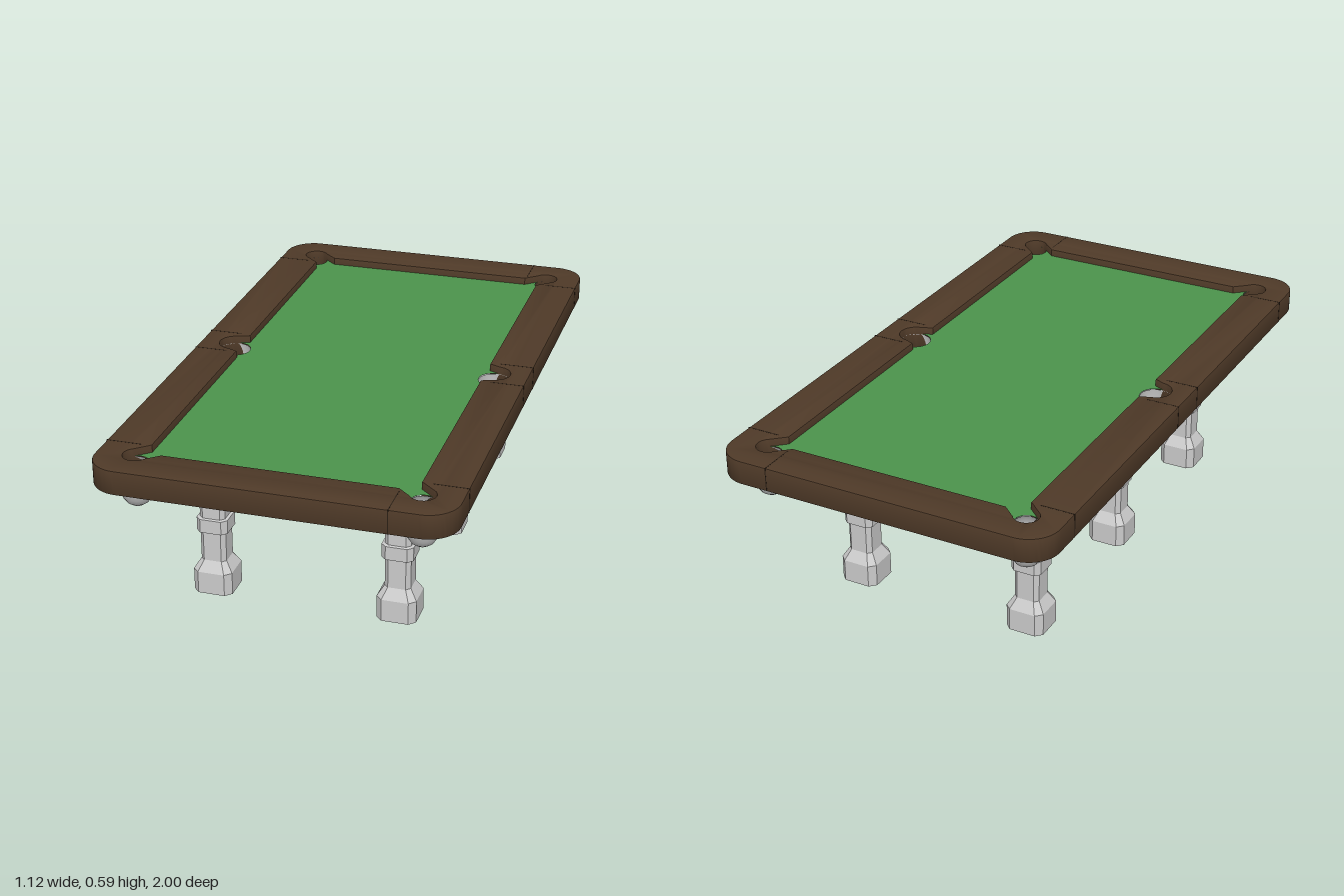
import * as THREE from 'three';
import { toCreasedNormals } from 'three/addons/utils/BufferGeometryUtils.js';

const material = (color) => new THREE.MeshStandardMaterial({ color, side: THREE.DoubleSide });
const wood = material(0x4f3a28);
const seamWood = material(0x2a1f15);
const cloth = material(0x4c944c);
const grey = material(0xcccccc);

const CORNER = { x: 0.44, z: 0.877, r: 0.039 };
const SIDE = { x: 0.447, z: 0, r: 0.052 };

function add(parent, name, geometry, mat) {
  const mesh = new THREE.Mesh(geometry, mat);
  mesh.name = name;
  parent.add(mesh);
  return mesh;
}

// Rounded rectangle outline, counter-clockwise
function roundedRect(hx, hy, r) {
  const s = new THREE.Shape();
  s.absarc(hx - r, hy - r, r, 0, Math.PI / 2);
  s.absarc(-hx + r, hy - r, r, Math.PI / 2, Math.PI);
  s.absarc(-hx + r, -hy + r, r, Math.PI, Math.PI * 1.5);
  s.absarc(hx - r, -hy + r, r, Math.PI * 1.5, Math.PI * 2);
  s.closePath();
  return s;
}

// Points of an arc, angles in degrees
function arc({ x, z, r }, from, to, steps) {
  return Array.from({ length: steps + 1 }, (_, i) => {
    const a = THREE.MathUtils.degToRad(from + ((to - from) * i) / steps);
    return [x + r * Math.cos(a), z + r * Math.sin(a)];
  });
}

// Inner edge of the rails: one quarter with pocket jaws, mirrored to all four
function cushionOutline() {
  const quarter = [
    ...arc(SIDE, 0, 85, 8),
    [0.417, 0.067], [0.417, 0.805],
    ...arc(CORNER, -60, 150, 16),
    [0.365, 0.86],
  ];
  const flip = (sx, sz, reverse) => {
    const pts = quarter.map(([x, z]) => new THREE.Vector2(x * sx, z * sz));
    return reverse ? pts.reverse() : pts;
  };
  const all = [...flip(1, 1), ...flip(-1, 1, true), ...flip(-1, -1), ...flip(1, -1, true)];
  return new THREE.Path(all.filter((p, i) => p.distanceTo(all[(i + 1) % all.length]) > 1e-5));
}

// Solid lofted through rounded-square rings [y, halfX, halfZ, cornerRadius]
function loft(levels, segs, crease) {
  const pos = [], index = [], n = 4 * (segs + 1), last = (levels.length - 1) * n;
  for (const [y, hx, hz, r] of levels) {
    for (let c = 0; c < 4; c++) {
      const sx = c === 0 || c === 3 ? 1 : -1, sz = c < 2 ? 1 : -1;
      for (let s = 0; s <= segs; s++) {
        const a = ((c + s / segs) * Math.PI) / 2;
        pos.push(sx * (hx - r) + r * Math.cos(a), y, sz * (hz - r) + r * Math.sin(a));
      }
    }
  }
  for (let k = 0; k < last; k += n) {
    for (let i = 0; i < n; i++) {
      const a = k + i, b = k + ((i + 1) % n);
      index.push(a, a + n, b, b, a + n, b + n);
    }
  }
  for (let i = 1; i < n - 1; i++) {
    index.push(0, i, i + 1, last, last + i + 1, last + i);
  }
  const g = new THREE.BufferGeometry();
  g.setAttribute('position', new THREE.Float32BufferAttribute(pos, 3));
  g.setIndex(index);
  return toCreasedNormals(g, crease);
}

export function createModel() {
  const model = new THREE.Group();
  model.name = 'poolTable';

  // Rail frame with softened edges and pocket cut-outs
  const frame = roundedRect(0.56, 1, 0.1);
  frame.holes.push(cushionOutline());
  const bevel = 0.004;
  const frameGeo = new THREE.ExtrudeGeometry(frame, {
    depth: 0.079 - 2 * bevel, curveSegments: 10, bevelEnabled: true,
    bevelThickness: bevel, bevelSize: bevel, bevelOffset: -bevel, bevelSegments: 2,
  });
  frameGeo.rotateX(-Math.PI / 2).translate(0, 0.506 + bevel, 0);
  add(model, 'railFrame', toCreasedNormals(frameGeo, 0.6), wood);

  // Joints between rail sections
  const joints = new THREE.Group();
  joints.name = 'railJoints';
  model.add(joints);
  const joint = (w, d, x, z) =>
    add(joints, 'railJoint', new THREE.BoxGeometry(w, 0.077, d), seamWood).position.set(x, 0.5468, z);
  for (const s of [-1, 1]) {
    for (const z of [-0.81, -0.075, 0.075, 0.81]) joint(0.11, 0.004, s * 0.5055, z);
    joint(0.003, 0.12, 0.37, s * 0.9405);
  }

  // Cloth bed with pocket openings
  const bed = roundedRect(0.52, 0.95, 0.06);
  const pockets = [];
  for (const sx of [-1, 1]) {
    for (const sz of [-1, 0, 1]) {
      const p = sz ? CORNER : SIDE;
      pockets.push({ x: sx * p.x, z: sz * p.z, r: p.r });
    }
  }
  for (const p of pockets) {
    bed.holes.push(new THREE.Path().absarc(p.x, -p.z, p.r, 0, Math.PI * 2, true));
  }
  const bedGeo = new THREE.ShapeGeometry(bed, 16);
  bedGeo.rotateX(-Math.PI / 2).translate(0, 0.56, 0);
  add(model, 'clothBed', bedGeo, cloth);

  // Egg-shaped pocket cups
  for (const p of pockets) {
    const profile = [
      [0, 0.418], [0.018, 0.421], [0.034, 0.432], [0.046, 0.45],
      [0.055, 0.475], [0.059, 0.503], [0.057, 0.53], [p.r, 0.558],
    ].map(([r, y]) => new THREE.Vector2(r, y));
    add(model, 'pocketCup', new THREE.LatheGeometry(profile, 24), grey).position.set(p.x, 0, p.z);
  }

  // Tapered body under the bed
  add(model, 'underBody', loft([
    [0.393, 0.25, 0.65, 0.05], [0.398, 0.278, 0.678, 0.065], [0.414, 0.302, 0.705, 0.08],
    [0.44, 0.322, 0.738, 0.09], [0.505, 0.36, 0.81, 0.1], [0.558, 0.38, 0.845, 0.11],
  ], 6, 0.7), grey);

  // Six chamfered legs: recessed foot, shaft, collar and flared head
  const legGeo = loft([
    [0.015, 0.018], [0, 0.064], [0.075, 0.064], [0.11, 0.042], [0.21, 0.042],
    [0.212, 0.051], [0.258, 0.051], [0.26, 0.042], [0.43, 0.042], [0.457, 0.06], [0.512, 0.06],
  ].map(([y, h]) => [y, h, h, h * 0.32]), 1, 0.3);
  for (const x of [-0.306, 0.298]) {
    for (const z of [-0.59, 0, 0.592]) add(model, 'leg', legGeo, grey).position.set(x, 0, z);
  }

  return model;
}
